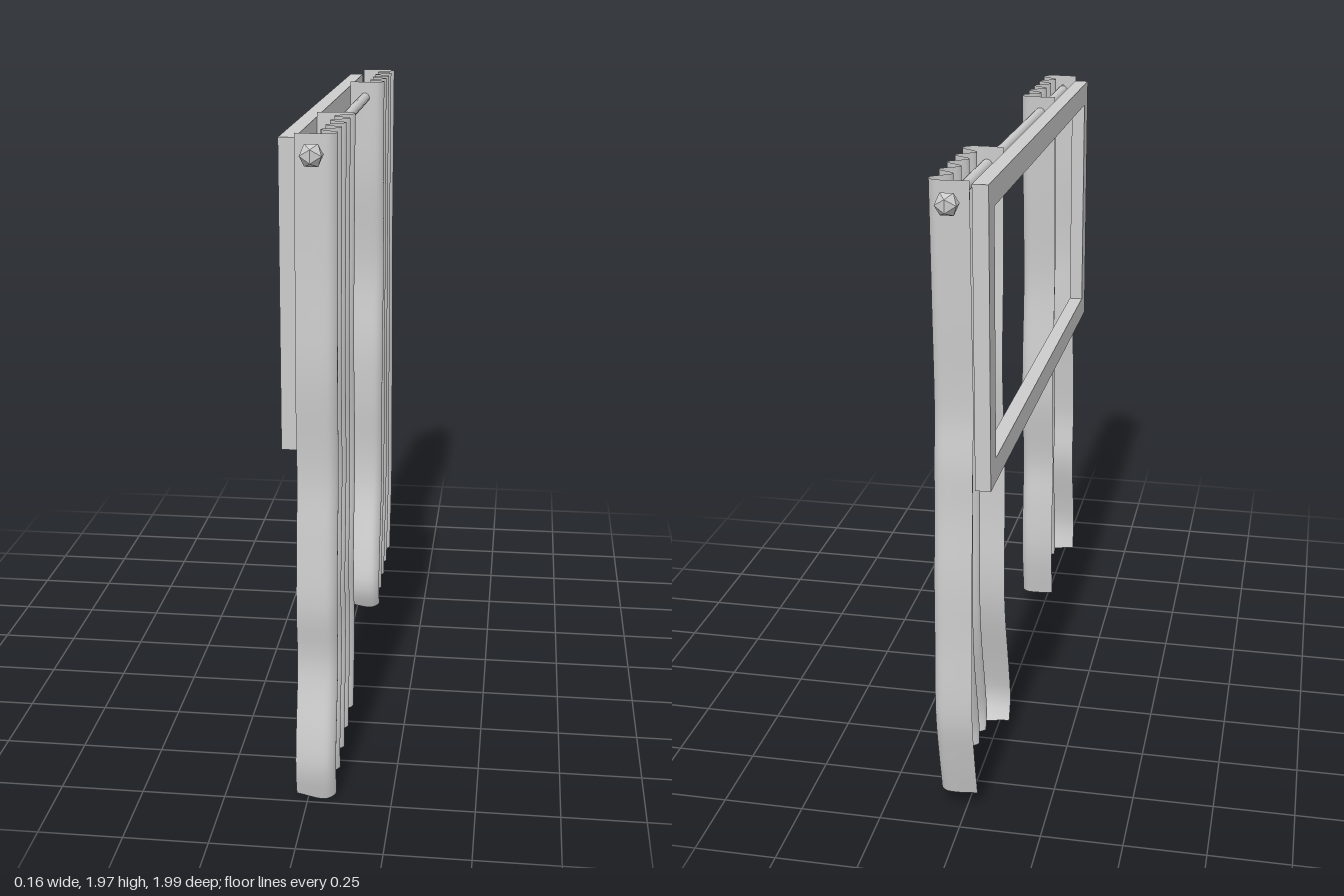
import * as THREE from 'three';

const TOP = 1.975;
const material = new THREE.MeshStandardMaterial({ color: 0xcccccc });
const clothMaterial = new THREE.MeshStandardMaterial({ color: 0xcccccc, side: THREE.DoubleSide });

// Pleat cross-section as (x, u): u runs 0..1 across the curtain, both ends wrap back
function pleatProfile() {
  const pts = [[-0.035, 0.015], [0.03, 0], [0.068, 0.015]];
  for (let i = 0; i < 5; i++) {
    const c = 0.08 + i * 0.21;
    pts.push([0.08, c]);
    if (i < 4) pts.push([0.027, c + 0.105]);
  }
  pts.push([0.068, 0.985], [0.03, 1], [-0.035, 0.985]);
  const curve = new THREE.CatmullRomCurve3(pts.map(([x, u]) => new THREE.Vector3(x, u, 0)), false, 'catmullrom', 0.5);
  return curve.getPoints(112);
}

// Smooth edge line from (y, z) pairs, listed from the top down; returns z at height y
function edgeLine(pairs) {
  return (y) => {
    let i = 0;
    while (i < pairs.length - 2 && y < pairs[i + 1][0]) i++;
    const at = (k) => pairs[Math.min(Math.max(k, 0), pairs.length - 1)];
    const slope = (k) => (at(k + 1)[1] - at(k - 1)[1]) / (at(k + 1)[0] - at(k - 1)[0]);
    const [y0, z0] = at(i), [y1, z1] = at(i + 1), h = y1 - y0;
    const t = THREE.MathUtils.clamp((y - y0) / h, 0, 1), t2 = t * t, t3 = t2 * t;
    return (2 * t3 - 3 * t2 + 1) * z0 + (t3 - 2 * t2 + t) * h * slope(i)
      + (3 * t2 - 2 * t3) * z1 + (t3 - t2) * h * slope(i + 1);
  };
}

// Hanging cloth: pleat profile swept down between two wavy edges, with a sloping hem
function curtain(name, edgeA, edgeB) {
  const profile = pleatProfile(), rows = 48, cols = profile.length;
  const zA = edgeLine(edgeA), zB = edgeLine(edgeB);
  const positions = [], index = [];
  for (let r = 0; r <= rows; r++) {
    for (const p of profile) {
      const u = THREE.MathUtils.clamp(p.y, 0, 1);
      const hem = 0.06 * Math.pow(u, 0.65) + 0.1 * Math.max(0, 0.05 - p.x) * (1 - u);
      const t = r / rows;
      const y = TOP + (hem - TOP) * t;
      positions.push(p.x, y, THREE.MathUtils.lerp(zA(y), zB(y), p.y));
    }
  }
  for (let r = 0; r < rows; r++) {
    for (let c = 0; c < cols - 1; c++) {
      const a = r * cols + c, b = a + cols;
      index.push(a, b, a + 1, a + 1, b, b + 1);
    }
  }
  const geometry = new THREE.BufferGeometry();
  geometry.setAttribute('position', new THREE.Float32BufferAttribute(positions, 3));
  geometry.setIndex(index);
  geometry.computeVertexNormals();
  const mesh = new THREE.Mesh(geometry, clothMaterial);
  mesh.name = name;
  return mesh;
}

// Rectangular window frame lying in the z-y plane
function windowFrame() {
  const w = 0.89, y0 = 1.07, y1 = 1.96, b = 0.075;
  const rect = (path, x, lo, hi) => path.moveTo(-x, lo).lineTo(x, lo).lineTo(x, hi).lineTo(-x, hi).closePath();
  const shape = new THREE.Shape();
  rect(shape, w, y0, y1);
  const hole = new THREE.Path();
  rect(hole, w - b, y0 + b, y1 - b);
  shape.holes.push(hole);
  const geometry = new THREE.ExtrudeGeometry(shape, { depth: 0.046, bevelEnabled: false });
  geometry.rotateY(Math.PI / 2).translate(-0.082, 0, 0);
  const mesh = new THREE.Mesh(geometry, material);
  mesh.name = 'windowFrame';
  return mesh;
}

// Rod with a faceted finial on each end
function curtainRod() {
  const group = new THREE.Group();
  group.name = 'curtainRod';
  const zLeft = 0.943, zRight = -0.963;
  const rod = new THREE.Mesh(new THREE.CylinderGeometry(0.017, 0.017, zLeft - zRight, 16), material);
  rod.name = 'rod';
  rod.rotation.x = Math.PI / 2;
  rod.position.z = (zLeft + zRight) / 2;
  group.add(rod);
  for (const z of [zLeft, zRight]) {
    const finial = new THREE.Mesh(new THREE.IcosahedronGeometry(0.036, 0), material);
    finial.material = new THREE.MeshStandardMaterial({ color: 0xcccccc, flatShading: true });
    finial.name = 'finial';
    finial.position.z = z;
    group.add(finial);
  }
  group.position.set(0.016, 1.92, 0);
  return group;
}

export function createModel() {
  const model = new THREE.Group();
  model.name = 'curtainedWindow';
  model.add(windowFrame(), curtainRod());
  model.add(curtain('frontCurtain',
    [[1.975, 0.917], [1.6, 0.923], [1.3, 0.935], [1, 0.92], [0.8, 0.94], [0.6, 0.956], [0.42, 0.94], [0.2, 0.987], [0.1, 0.999], [0, 0.978]],
    [[1.975, 0.43], [1.65, 0.445], [1.3, 0.46], [1, 0.43], [0.85, 0.427], [0.6, 0.457], [0.45, 0.442], [0.3, 0.43], [0.2, 0.433], [0.05, 0.457]]));
  model.add(curtain('backCurtain',
    [[1.975, -0.45], [1.65, -0.453], [1.3, -0.477], [1, -0.45], [0.8, -0.45], [0.6, -0.462], [0.45, -0.45], [0.2, -0.386], [0.08, -0.365], [0, -0.395]],
    [[1.975, -0.92], [1.6, -0.91], [1.3, -0.902], [1.15, -0.92], [1, -0.928], [0.8, -0.95], [0.6, -0.958], [0.35, -0.969], [0.2, -0.942], [0.05, -0.905]]));
  return model;
}
